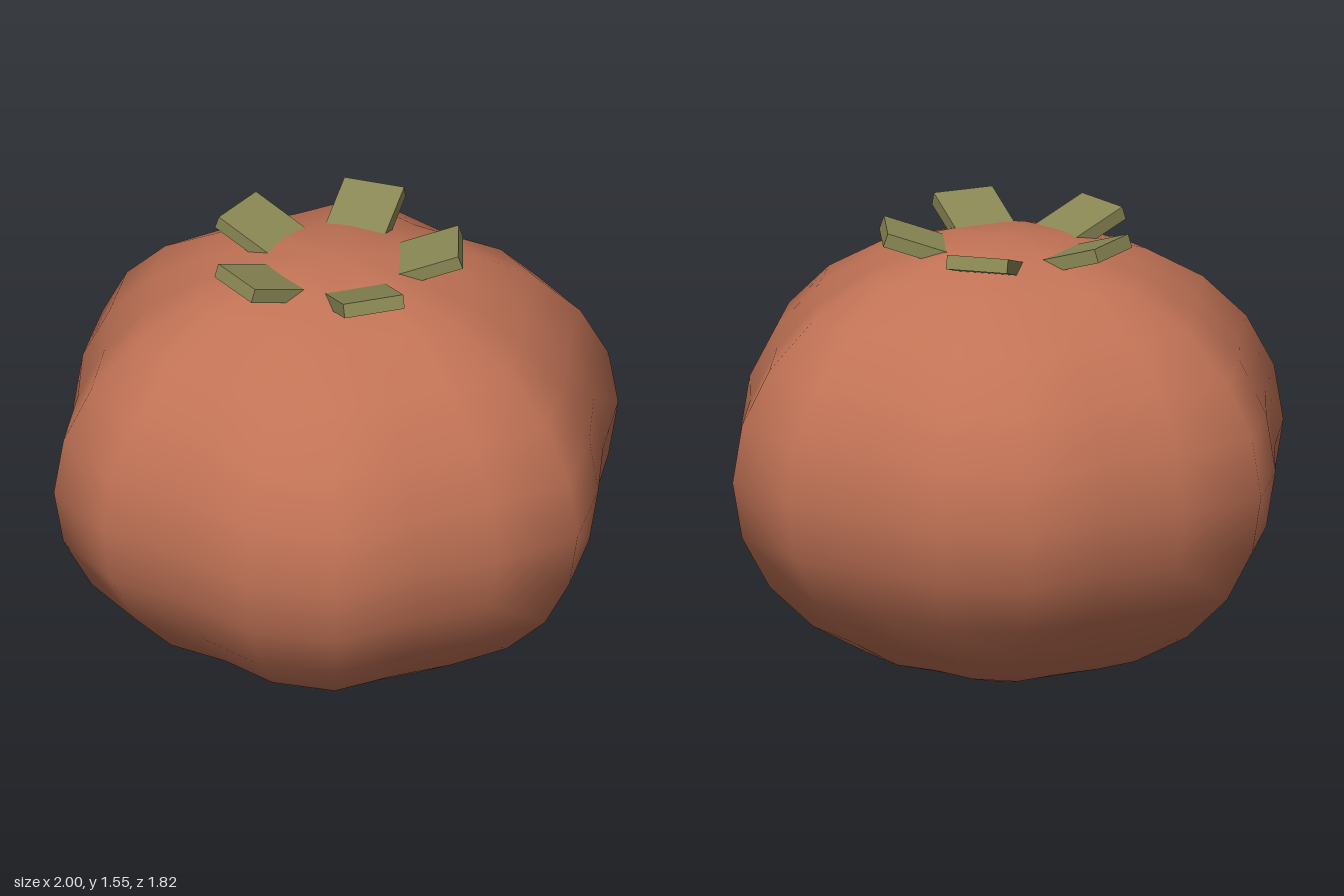
import * as THREE from 'three';
import { mergeVertices } from 'three/addons/utils/BufferGeometryUtils.js';

const fruitSkin = new THREE.MeshStandardMaterial({ color: 0xc27356 });
fruitSkin.name = 'fruit skin';
const leafGreen = new THREE.MeshStandardMaterial({ color: 0x8a8854 });
leafGreen.name = 'leaf green';

// Squashed sphere with six soft lobes around its vertical axis
function lobedBody(centerY, halfHeight) {
  let geo = new THREE.SphereGeometry(1, 20, 12);
  geo.deleteAttribute('uv');
  geo.deleteAttribute('normal');
  const p = geo.attributes.position;
  for (let i = 0; i < p.count; i++) {
    const x = p.getX(i), z = p.getZ(i);
    const r = 0.94 + 0.06 * Math.cos(6 * Math.atan2(z, x));
    p.setXYZ(i, x * r, centerY + p.getY(i) * halfHeight, z * r);
  }
  geo = mergeVertices(geo, 1e-4);
  geo.computeVertexNormals();
  return geo;
}

export function createModel() {
  const model = new THREE.Group();
  model.name = 'fruit';

  const body = new THREE.Mesh(lobedBody(0.756, 0.754), fruitSkin);
  body.name = 'body';
  model.add(body);

  // Five stubby leaves, tipped up outward, their inner ends sunk into the top
  const calyx = new THREE.Group();
  calyx.name = 'calyx';
  const leafGeo = new THREE.BoxGeometry(0.26, 0.048, 0.21);
  for (let i = 0; i < 5; i++) {
    const arm = new THREE.Group();
    arm.name = 'leafArm' + (i + 1);
    arm.rotation.y = Math.PI / 5 + (i * Math.PI * 2) / 5;
    const leaf = new THREE.Mesh(leafGeo, leafGreen);
    leaf.name = 'leaf' + (i + 1);
    leaf.position.set(0.293, 1.489, 0);
    leaf.rotation.z = 0.33;
    arm.add(leaf);
    calyx.add(arm);
  }
  model.add(calyx);
  return model;
}
